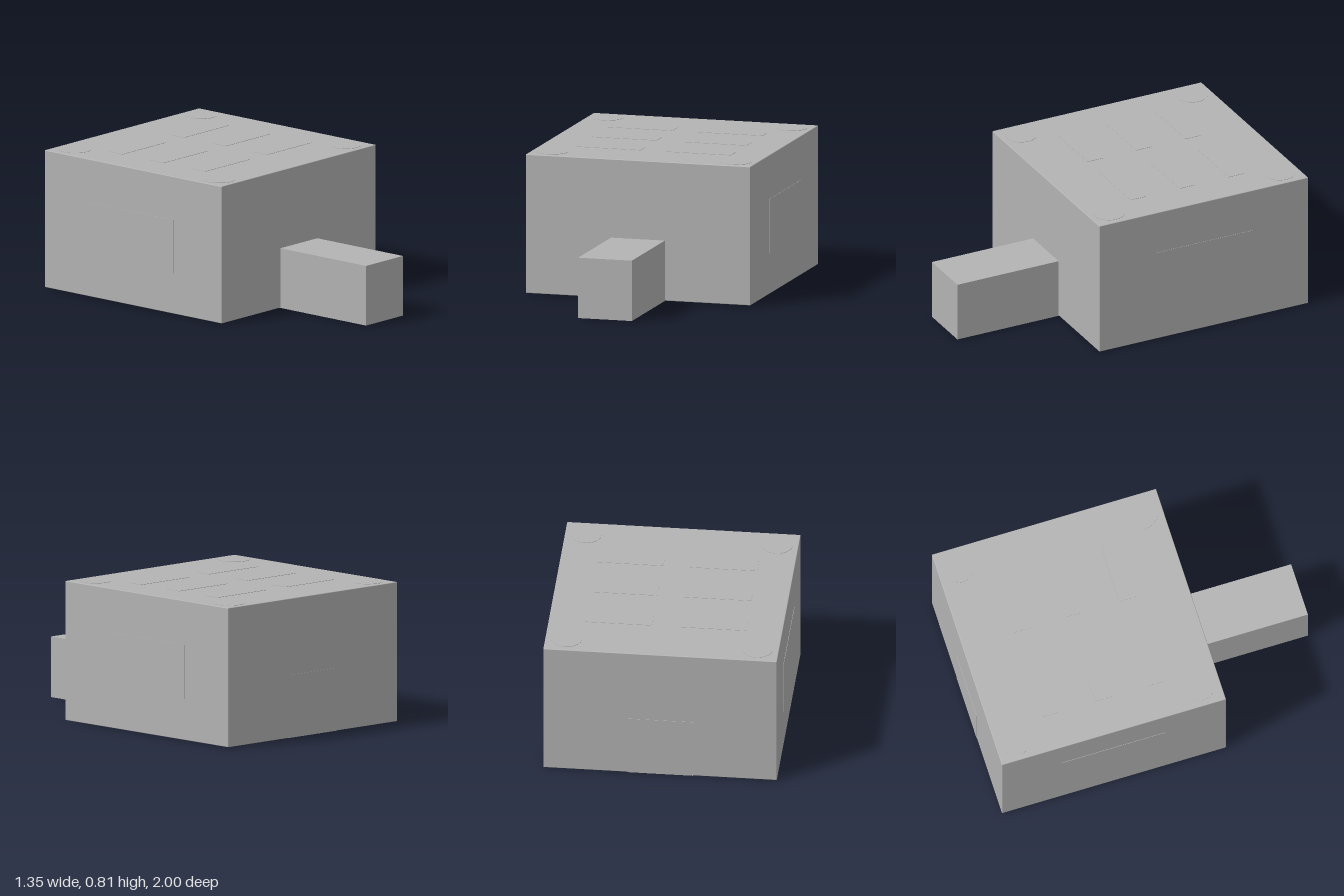
import * as THREE from 'three';
import { RoundedBoxGeometry } from 'three/addons/geometries/RoundedBoxGeometry.js';

const grey = new THREE.MeshStandardMaterial({ color: 0xb3b3b3 });
grey.name = 'plain grey';

const FOOT = 0.004;          // foot thickness
const TOP = 0.813;           // top of the body
const CZ = -0.325;           // centre of the body in z
const HALF = 0.673;          // half width of the body
const RAISE = 0.002;         // how far the plates stand proud

export function createModel() {
  const model = new THREE.Group();
  model.name = 'boxUnit';

  const add = (name, geometry, x, y, z) => {
    const mesh = new THREE.Mesh(geometry, grey);
    mesh.name = name;
    mesh.position.set(x, y, z);
    model.add(mesh);
    return mesh;
  };
  // Plate given by its centre and full sizes
  const box = (name, w, h, d, x, y, z) => add(name, new THREE.BoxGeometry(w, h, d), x, y, z);
  const disc = (name, r, h, x, y, z) => add(name, new THREE.CylinderGeometry(r, r, h, 40), x, y, z);

  // Main body with finely eased edges
  const height = TOP - FOOT;
  add('body', new RoundedBoxGeometry(HALF * 2, height, HALF * 2, 2, 0.004), 0, FOOT + height / 2, CZ);

  // Long block projecting from the front
  box('frontBlock', 0.322, 0.352, 0.66, 0, 0.003 + 0.176, 0.67);

  // Raised panel on each side
  for (const s of [-1, 1]) {
    box('sidePanel', 0.004, 0.315, 0.62, s * (HALF + RAISE - 0.002), 0.4, -0.33);
  }

  // Raised door plate at the back
  box('backPlate', 0.38, 0.365, 0.004, 0, FOOT + 0.1825, CZ - HALF - RAISE + 0.002);

  // Two columns of three bars on the top
  for (const x of [-0.27, 0.27]) {
    for (const dz of [-0.316, 0, 0.316]) {
      box('topBar', 0.385, 0.004, 0.1, x, TOP + RAISE - 0.002, CZ + dz);
    }
  }

  // Corner pads on top, feet below and small screw heads around the middle
  for (const sx of [-1, 1]) {
    for (const sz of [-1, 1]) {
      disc('topPad', 0.09, 0.004, sx * 0.55, TOP + RAISE - 0.002, CZ + sz * 0.55);
      disc('foot', 0.097, 0.008, sx * 0.55, 0.004, CZ + sz * 0.55);
      disc('screwHead', 0.01, 0.006, sx * 0.07, 0.005, CZ + sz * 0.07);
    }
  }

  return model;
}
